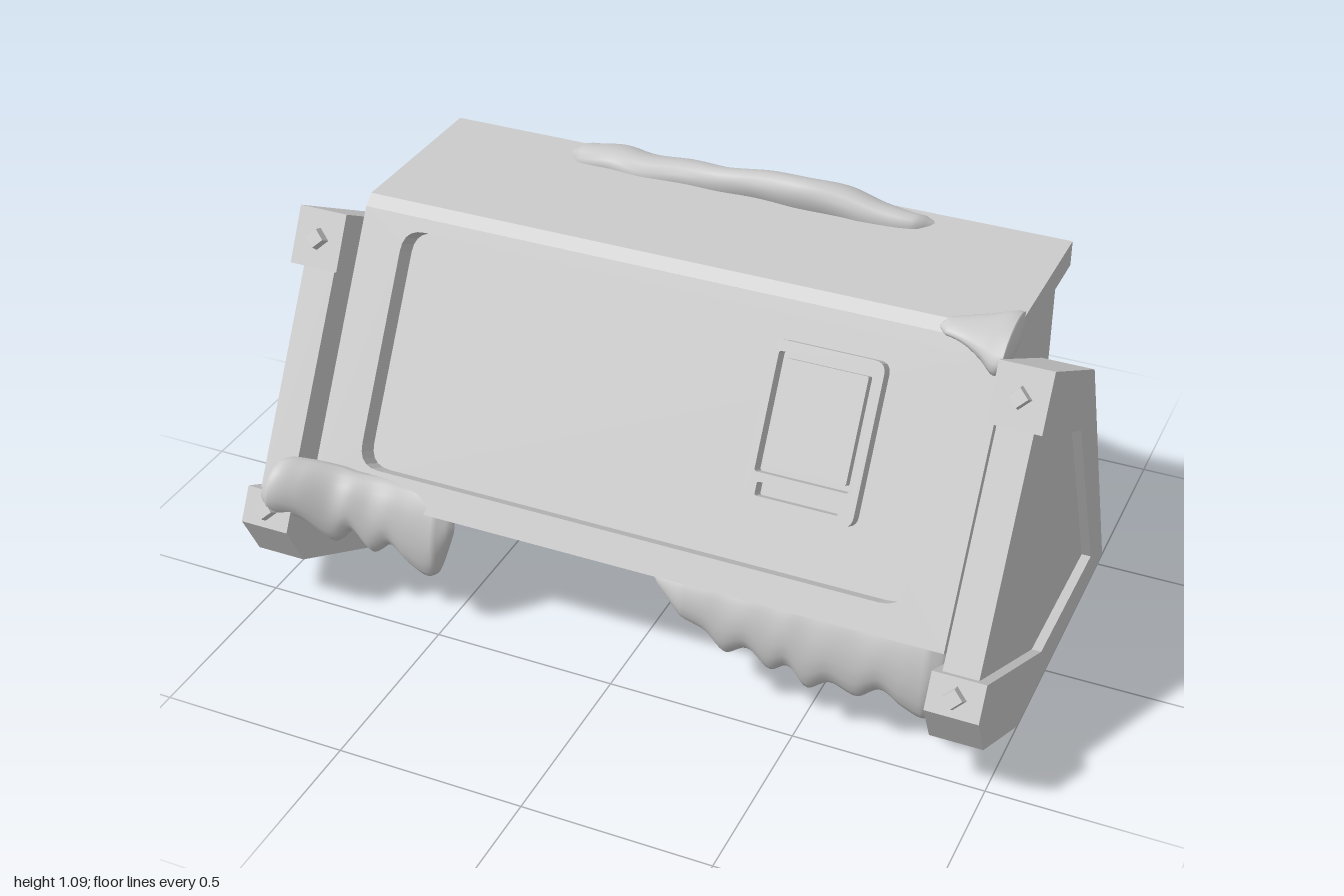
import * as THREE from 'three';

const material = new THREE.MeshStandardMaterial({ color: 0xcccccc });

function add(parent, name, geometry) {
  const mesh = new THREE.Mesh(geometry, material);
  mesh.name = name;
  parent.add(mesh);
  return mesh;
}

// Side profile given as [z, y] points, extruded along x from x0 to x1
function profile(points, x0, x1) {
  const shape = new THREE.Shape(points.map(([z, y]) => new THREE.Vector2(-z, y)));
  return new THREE.ExtrudeGeometry(shape, { depth: x1 - x0, bevelEnabled: false })
    .rotateY(Math.PI / 2).translate(x0, 0, 0);
}

// Rectangle outline with rounded corners
function rect(x0, y0, x1, y1, r, Type = THREE.Shape) {
  const s = new Type();
  s.moveTo(x0 + r, y0);
  s.lineTo(x1 - r, y0);
  s.quadraticCurveTo(x1, y0, x1, y0 + r);
  s.lineTo(x1, y1 - r);
  s.quadraticCurveTo(x1, y1, x1 - r, y1);
  s.lineTo(x0 + r, y1);
  s.quadraticCurveTo(x0, y1, x0, y1 - r);
  s.lineTo(x0, y0 + r);
  s.quadraticCurveTo(x0, y0, x0 + r, y0);
  return s;
}

// Plate with holes, from local z0 to z1
function plate(outline, holes, z0, z1) {
  outline.holes.push(...holes);
  return new THREE.ExtrudeGeometry(outline, { depth: z1 - z0, bevelEnabled: false, curveSegments: 5 })
    .translate(0, 0, z0);
}

// Soft lump lofted along x; stations are [x, top, bottom, z, half depth]
function lump(stations, lean) {
  const heights = new THREE.CatmullRomCurve3(
    stations.map(s => new THREE.Vector3(s[0], s[1], s[2])), false, 'catmullrom');
  const depths = new THREE.CatmullRomCurve3(
    stations.map(s => new THREE.Vector3(s[0], s[3], s[4])), false, 'catmullrom');
  const rows = 72, cols = 18, pos = [], index = [];
  for (let i = 0; i <= rows; i++) {
    const t = i / rows, h = heights.getPoint(t), d = depths.getPoint(t);
    const end = Math.sqrt(Math.min(1, Math.min(t, 1 - t) * 12));
    const mid = (h.y + h.z) / 2, ry = end * (h.y - h.z) / 2;
    for (let j = 0; j < cols; j++) {
      const a = j / cols * Math.PI * 2, dy = Math.cos(a) * ry;
      pos.push(h.x, mid + dy, d.y + lean * dy + Math.sin(a) * d.z * end);
      if (i < rows) {
        const n = (j + 1) % cols, p = i * cols + j, q = i * cols + n;
        index.push(p, q, p + cols, q, q + cols, p + cols);
      }
    }
  }
  const g = new THREE.BufferGeometry();
  g.setAttribute('position', new THREE.Float32BufferAttribute(pos, 3));
  g.setIndex(index);
  g.computeVertexNormals();
  return g;
}

export function createModel() {
  const model = new THREE.Group();
  model.name = 'case';

  // Body: C-shaped shell around a slightly narrower core
  add(model, 'shell', profile([
    [-0.405, 1.025], [0.075, 1.025], [0.105, 1.0], [0.049, 0.967], [0.419, 0.3275], [0.11, 0.155], [-0.405, 0.155],
    [-0.405, 0.225], [0.10, 0.225], [0.365, 0.375], [0.032, 0.957], [-0.405, 0.957]], -0.865, 0.865));
  add(model, 'core', profile([
    [-0.35, 0.98], [0.03, 0.98], [0.39, 0.35], [0.11, 0.2], [-0.35, 0.2]], -0.835, 0.835));
  add(model, 'backFrame', plate(rect(-0.835, 0.2, 0.835, 0.98, 0.001),
    [rect(-0.46, 0.35, 0.46, 0.87, 0.005, THREE.Path)], -0.395, -0.34));

  // Sloping front, built flat and leaned back 30 degrees
  const front = new THREE.Group();
  front.name = 'front';
  front.position.set(0, 0.36, 0.475);
  front.rotation.x = -Math.PI / 6;
  model.add(front);
  add(front, 'frontFrame', plate(rect(-0.865, 0, 0.865, 0.74, 0.001),
    [rect(-0.745, 0.08, 0.745, 0.705, 0.06, THREE.Path)], -0.066, 0));
  add(front, 'controlPanel', plate(rect(0.285, 0.23, 0.575, 0.64, 0.03), [
    rect(0.305, 0.312, 0.55, 0.612, 0.008, THREE.Path),
    rect(0.318, 0.254, 0.535, 0.289, 0.006, THREE.Path)], -0.068, -0.02));
  add(front, 'controlScreen', plate(rect(0.32, 0.327, 0.535, 0.597, 0.005), [], -0.068, -0.035));

  for (const side of [-1, 1]) {
    const span = (pts, a, b) => side > 0 ? profile(pts, a, b) : profile(pts, -b, -a);

    // End frame open at the front, with a thinner panel inside it
    const end = new THREE.Group();
    end.name = side > 0 ? 'leftEnd' : 'rightEnd';
    model.add(end);
    add(end, 'endFrame', span([
      [0.2, 1.022], [-0.2, 0.8], [-0.55, 0], [0.24, 0], [0.55, 0.17], [0.612, 0.295], [0.565, 0.378],
      [0.06, 0.105], [-0.405, 0.09], [-0.125, 0.665], [0.272, 0.89]], 0.865, 1));
    add(end, 'endPanel', span([
      [0.235, 0.9], [-0.14, 0.69], [-0.43, 0.06], [0.06, 0.08], [0.545, 0.368]], 0.885, 0.975));

    // Diamond screws on the upper and lower tabs
    for (const [y, z] of [[0.955, 0.235], [0.335, 0.588]]) {
      const screw = add(end, 'screw', new THREE.CylinderGeometry(0.024, 0.034, 0.05, 4).toNonIndexed());
      screw.geometry.computeVertexNormals();
      screw.position.set(side * 0.932, y, z);
      screw.rotation.x = Math.PI / 3;
    }

    // Chamfered handle mounts on the back
    add(model, 'handleMount', span([
      [-0.36, 0.835], [-0.51, 0.835], [-0.565, 0.755], [-0.565, 0.41], [-0.515, 0.355], [-0.36, 0.355]], 0.49, 0.71));
    const collar = add(model, 'handleCollar', new THREE.CylinderGeometry(0.05, 0.05, 0.04, 8));
    collar.rotation.z = Math.PI / 2;
    collar.position.set(side * 0.48, 0.58, -0.505);
  }

  // Sagging carry handle
  const path = new THREE.CatmullRomCurve3([
    [-0.5, 0.58, -0.505], [-0.42, 0.575, -0.51], [-0.28, 0.52, -0.548], [-0.1, 0.468, -0.583],
    [0.1, 0.468, -0.583], [0.28, 0.52, -0.548], [0.42, 0.575, -0.51], [0.5, 0.58, -0.505],
  ].map(p => new THREE.Vector3(...p)));
  add(model, 'handle', new THREE.TubeGeometry(path, 48, 0.035, 12));

  // Snow lumps with drips along the edges
  add(model, 'snowBack', lump([
    [-0.52, 1.04, 0.97, -0.38, 0.05], [-0.45, 1.055, 0.9, -0.385, 0.075], [-0.36, 1.06, 0.93, -0.385, 0.08],
    [-0.27, 1.06, 0.87, -0.39, 0.085], [-0.16, 1.065, 0.91, -0.385, 0.075], [-0.05, 1.075, 0.88, -0.385, 0.07],
    [0.06, 1.085, 0.92, -0.38, 0.07], [0.17, 1.095, 0.89, -0.38, 0.075], [0.28, 1.085, 0.9, -0.385, 0.08],
    [0.38, 1.065, 0.85, -0.39, 0.075], [0.48, 1.05, 0.86, -0.39, 0.06], [0.57, 1.03, 0.94, -0.4, 0.03]], 0.65));
  add(model, 'snowFrontRight', lump([
    [-0.96, 0.41, 0.33, 0.565, 0.04], [-0.91, 0.462, 0.32, 0.545, 0.06], [-0.85, 0.455, 0.3, 0.515, 0.065],
    [-0.78, 0.435, 0.23, 0.485, 0.06], [-0.73, 0.425, 0.27, 0.475, 0.055], [-0.68, 0.42, 0.21, 0.465, 0.055],
    [-0.63, 0.415, 0.24, 0.455, 0.055], [-0.58, 0.41, 0.19, 0.45, 0.055], [-0.52, 0.405, 0.165, 0.445, 0.05],
    [-0.465, 0.385, 0.25, 0.445, 0.035]], -0.15));
  add(model, 'snowFrontLeft', lump([
    [0.105, 0.38, 0.31, 0.455, 0.025], [0.18, 0.385, 0.25, 0.445, 0.045], [0.25, 0.385, 0.22, 0.44, 0.05],
    [0.3, 0.39, 0.17, 0.435, 0.055], [0.36, 0.39, 0.2, 0.435, 0.055], [0.42, 0.395, 0.155, 0.435, 0.055],
    [0.47, 0.395, 0.18, 0.435, 0.055], [0.52, 0.4, 0.13, 0.435, 0.055], [0.58, 0.4, 0.165, 0.435, 0.055],
    [0.65, 0.4, 0.145, 0.435, 0.055], [0.71, 0.4, 0.185, 0.435, 0.055], [0.77, 0.4, 0.15, 0.435, 0.055],
    [0.83, 0.4, 0.135, 0.435, 0.05], [0.87, 0.385, 0.22, 0.44, 0.045]], -0.1));
  add(model, 'snowCorner', lump([
    [0.69, 1.032, 1.005, 0.1, 0.02], [0.75, 1.037, 0.995, 0.09, 0.045], [0.8, 1.042, 0.965, 0.08, 0.065],
    [0.84, 1.046, 0.93, 0.07, 0.085], [0.872, 1.04, 0.95, 0.06, 0.09]], -0.6));

  return model;
}
